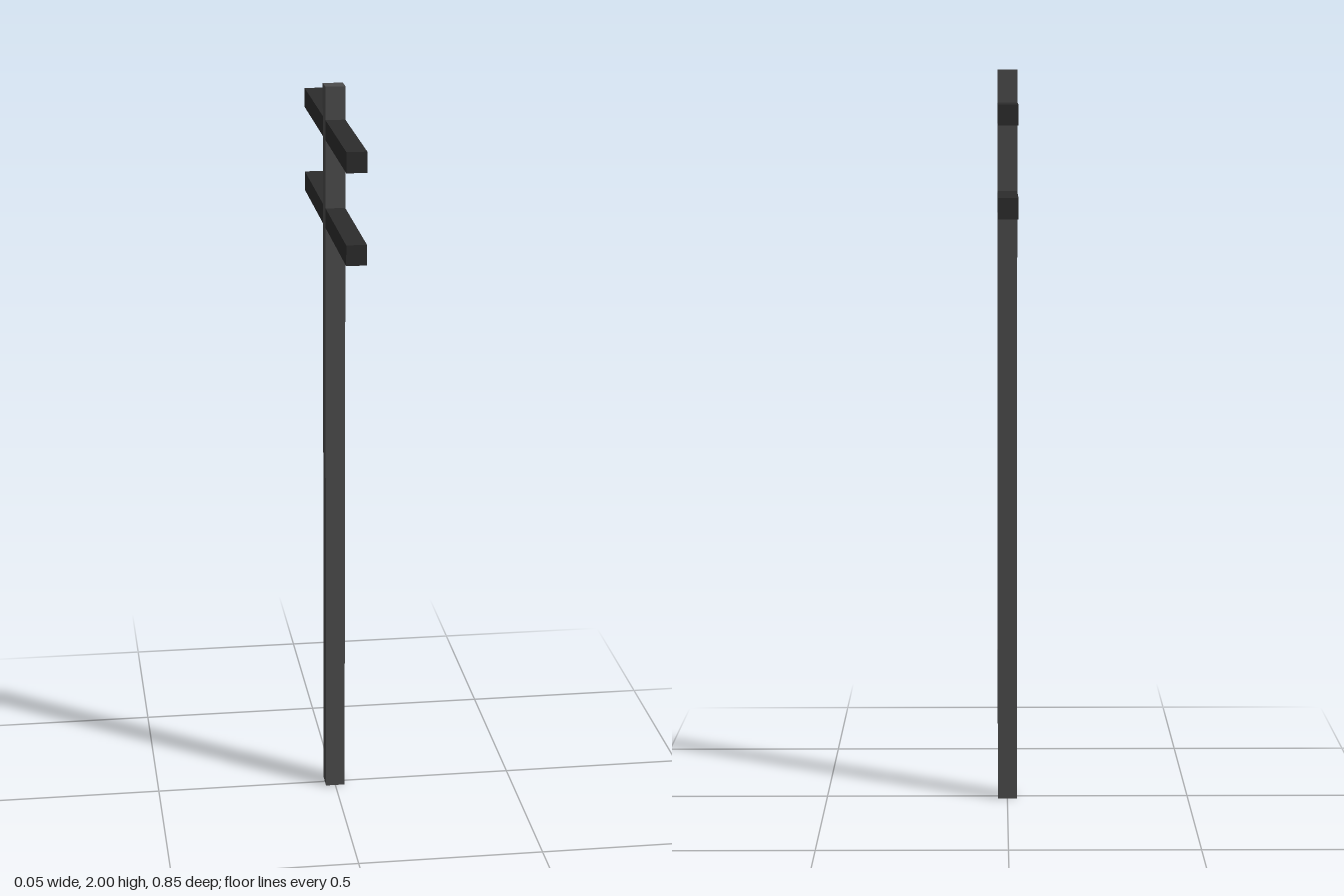
import * as THREE from 'three';

const POLE_WIDTH = 0.053;
const ARM_WIDTH = 0.052; // a hair slimmer, so the faces never coincide with the pole's
const ARM_LENGTH = 0.853;

export function createModel() {
  const group = new THREE.Group();
  group.name = 'utilityPole';
  const poleMaterial = new THREE.MeshStandardMaterial({ color: 0x4c4c4c });
  const armMaterial = new THREE.MeshStandardMaterial({ color: 0x2c2c2c });

  const addBeam = (name, size, y, material) => {
    const beam = new THREE.Mesh(new THREE.BoxGeometry(...size), material);
    beam.name = name;
    beam.position.y = y;
    group.add(beam);
  };

  // Square upright post
  addBeam('pole', [POLE_WIDTH, 2, POLE_WIDTH], 1, poleMaterial);

  // Two crossarms running front to back through the post
  const armSize = [ARM_WIDTH, POLE_WIDTH, ARM_LENGTH];
  addBeam('upperCrossarm', armSize, 1.886, armMaterial);
  addBeam('lowerCrossarm', armSize, 1.651, armMaterial);

  return group;
}
